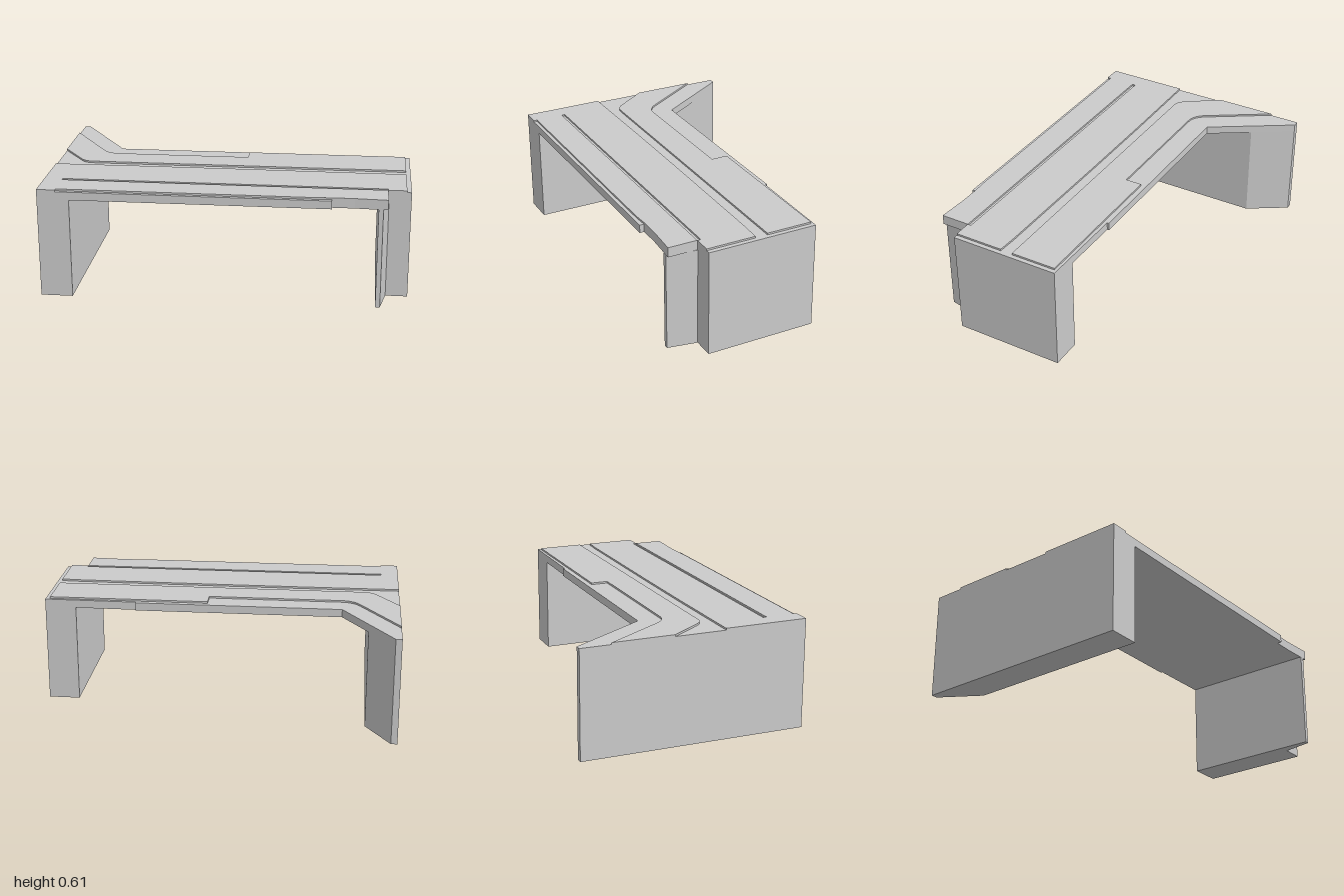
import * as THREE from 'three';

const material = new THREE.MeshStandardMaterial({ color: 0xcccccc });

// Plan outline of [x, z] corners; [cx, cz, x, z] is a rounded corner.
function planShape(points) {
  const shape = new THREE.Shape();
  points.forEach((p, i) => {
    if (i === 0) shape.moveTo(p[0], -p[1]);
    else if (p.length === 4) shape.quadraticCurveTo(p[0], -p[1], p[2], -p[3]);
    else shape.lineTo(p[0], -p[1]);
  });
  shape.closePath();
  return shape;
}

// Vertical prism between two heights above a plan outline.
function prism(name, points, bottom, top) {
  const geometry = new THREE.ExtrudeGeometry(planShape(points), {
    depth: top - bottom, bevelEnabled: false, curveSegments: 8,
  });
  geometry.rotateX(-Math.PI / 2).translate(0, bottom, 0);
  const mesh = new THREE.Mesh(geometry, material);
  mesh.name = name;
  return mesh;
}

export function createModel() {
  const group = new THREE.Group();
  group.name = 'bridge';
  const under = 0.555, deckTop = 0.6, plateTop = 0.61;

  // Deck slab with a flared back corner and a notched front corner
  group.add(prism('deck', [
    [-1, 0.63], [0.58, 0.63], [0.58, 0.605], [0.7, 0.605], [0.875, 0.615],
    [0.875, 0.45], [1, 0.45], [1, -0.175], [0.48, -0.18], [0.48, -0.19],
    [-0.68, -0.19], [-0.965, -0.635], [-1, -0.635],
  ], under, deckTop));

  // Abutment walls at both ends
  group.add(prism('rightAbutment', [
    [-1, 0.63], [-0.825, 0.63], [-0.825, -0.415], [-0.965, -0.635], [-1, -0.635],
  ], 0, under));
  group.add(prism('leftAbutment', [
    [0.825, 0.615], [0.85, 0.615], [0.88, 0.45], [1, 0.45], [1, -0.175], [0.825, -0.175],
  ], 0, under));

  // Front raised paving, with a long slot and a recessed front edge
  group.add(prism('frontPaving', [
    [-1, 0.63], [-0.9, 0.63], [-0.9, 0.61], [0.5, 0.61], [0.58, 0.605], [0.7, 0.605],
    [0.875, 0.615], [0.875, 0.45], [-0.9, 0.45], [-0.9, 0.43], [0.875, 0.43],
    [0.875, 0.45], [0.975, 0.45], [0.975, 0.17], [0.86, 0.165], [0.05, 0.16],
    [-0.45, 0.16], [-1, 0.165],
  ], deckTop, plateTop));

  // Back raised paving that turns toward the flared corner
  group.add(prism('backPaving', [
    [-1, -0.12], [-0.88, 0.05], [-0.85, 0.1, -0.8, 0.1], [0.975, 0.1],
    [0.975, -0.16], [0.075, -0.16], [0.075, -0.065], [-0.68, -0.065],
    [-0.74, -0.065, -0.78, -0.125], [-1, -0.465],
  ], deckTop, plateTop));

  return group;
}
